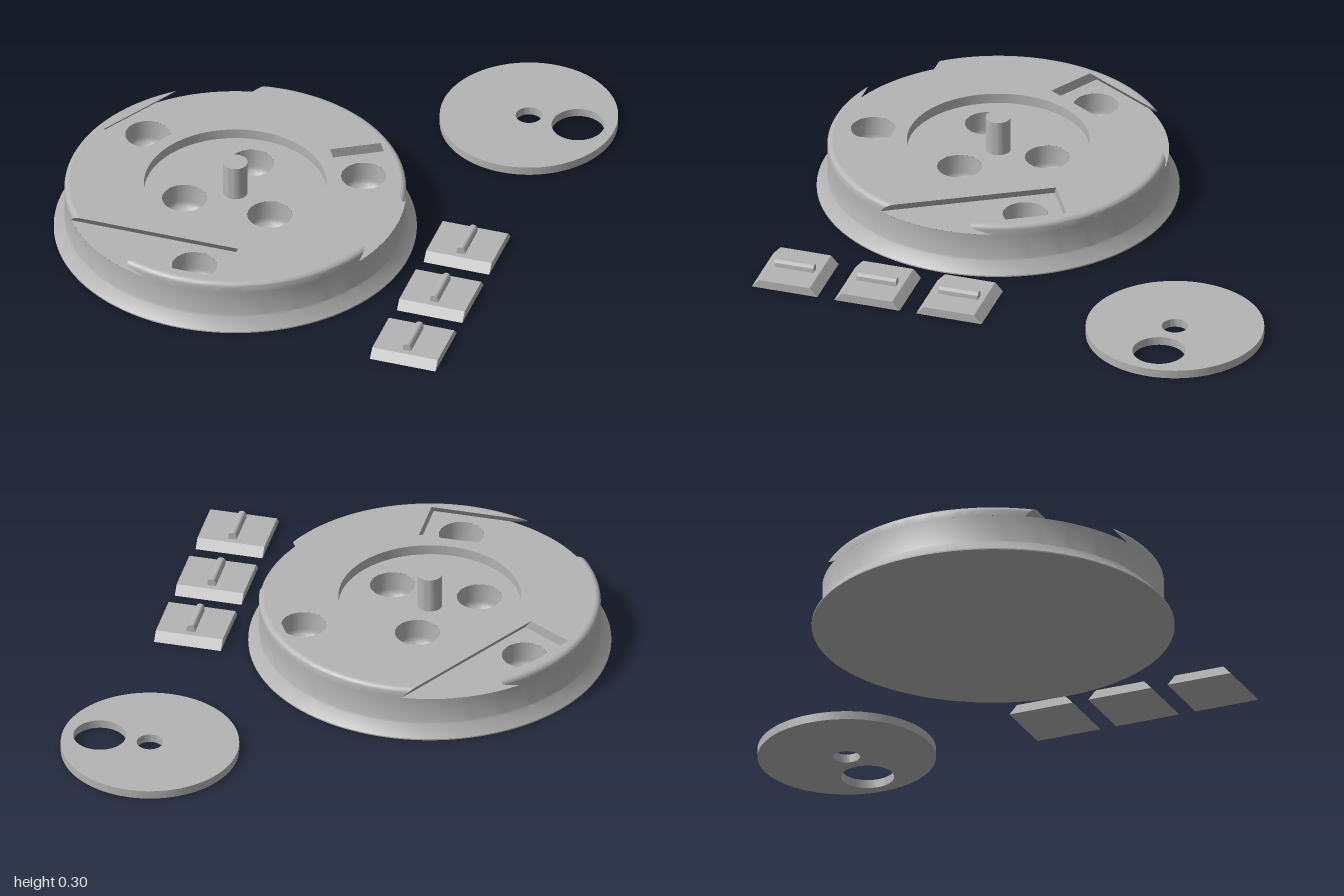
import * as THREE from 'three';
import { toCreasedNormals } from 'three/addons/utils/BufferGeometryUtils.js';

const FLOOR = 0.16, TOP = 0.2, R = 0.645, RECESS = 0.345, HOLE = 0.085;
const THIRD = Math.PI * 2 / 3;

export function createModel() {
  const grey = new THREE.MeshStandardMaterial({ color: 0xb4b4b4 });
  grey.name = 'plain grey';
  const model = new THREE.Group();

  const add = (parent, name, geometry, x = 0, y = 0, z = 0) => {
    const mesh = new THREE.Mesh(geometry, grey);
    mesh.name = name;
    mesh.position.set(x, y, z);
    parent.add(mesh);
    return mesh;
  };
  // Profile points running upward face outward, running downward face inward
  const lathe = (points, segments = 96) => toCreasedNormals(
    new THREE.LatheGeometry(points.map(p => new THREE.Vector2(...p)), segments), 0.5);
  const circle = (x, z, r) => new THREE.Path().absarc(x, -z, r, 0, Math.PI * 2);
  const flat = shape => new THREE.ShapeGeometry(shape, 48).rotateX(-Math.PI / 2);

  // Round base, centred on its own axis
  const base = new THREE.Group();
  base.name = 'base';
  base.position.set(-0.25, 0, 0.315);
  model.add(base);
  add(base, 'baseBody', lathe([[0, 0], [0.685, 0], [0.685, 0.005], [0.647, 0.05], [R, 0.055], [R, FLOOR]], 128));

  // Floor of the recess and slots, with six round pockets
  const floor = new THREE.Shape().absarc(0, 0, R, 0, Math.PI * 2);
  const pocket = [[HOLE, FLOOR], [HOLE, 0.085]];
  for (let i = 1; i <= 6; i++) {
    const a = i / 6 * Math.PI / 2;
    pocket.push([HOLE - 0.035 * (1 - Math.cos(a)), 0.085 - 0.035 * Math.sin(a)]);
  }
  pocket.push([0, 0.05]);
  for (let i = 0; i < 3; i++) {
    for (const [distance, angle, name] of [[0.195, -Math.PI / 2, 'innerPocket'], [0.495, Math.PI / 2, 'outerPocket']]) {
      const x = distance * Math.cos(angle + i * THIRD), z = distance * Math.sin(angle + i * THIRD);
      floor.holes.push(circle(x, z, HOLE));
      add(base, name, lathe(pocket, 40), x, 0, z);
    }
  }
  add(base, 'slotFloor', flat(floor), 0, FLOOR, 0);

  // Outline of the rim at one height: a circle cut by three undercut slots
  const outline = (y, r) => {
    const t = (y - FLOOR) / (TOP - FLOOR);
    const inner = 0.365 + 0.03 * t, outer = 0.625 - 0.035 * t, end = 0.14;
    const a0 = Math.PI - Math.asin(inner / r);
    const a1 = Math.PI - Math.asin(outer / r) + THIRD;
    const points = [];
    for (let s = 0; s < 3; s++) {
      const c = Math.cos(s * THIRD), n = Math.sin(s * THIRD);
      const put = (u, v) => points.push([u * c - v * n, u * n + v * c]);
      put(end, outer);
      put(end, inner);
      for (let i = 0; i <= 36; i++) {
        const a = a0 + (a1 - a0) * i / 36;
        put(r * Math.cos(a), r * Math.sin(a));
      }
    }
    return points;
  };

  // Rim wall lofted through the outlines, rounded at the top edge
  const levels = [[FLOOR, R], [0.18, R]];
  for (let i = 1; i <= 5; i++) {
    const a = i / 5 * Math.PI / 2;
    levels.push([0.18 + 0.02 * Math.sin(a), R - 0.02 * (1 - Math.cos(a))]);
  }
  const rings = levels.map(([y, r]) => outline(y, r).map(([x, z]) => [x, y, z]));
  const count = rings[0].length, wall = [];
  for (let k = 0; k < rings.length - 1; k++) {
    for (let i = 0; i < count; i++) {
      const j = (i + 1) % count;
      const a = rings[k][i], b = rings[k][j], c = rings[k + 1][j], d = rings[k + 1][i];
      wall.push(...a, ...d, ...b, ...b, ...d, ...c);
    }
  }
  const wallGeometry = new THREE.BufferGeometry();
  wallGeometry.setAttribute('position', new THREE.Float32BufferAttribute(wall, 3));
  add(base, 'slottedRim', toCreasedNormals(wallGeometry, 0.5));

  // Top face around the central recess
  const last = rings[rings.length - 1];
  const face = new THREE.Shape(last.map(([x, , z]) => new THREE.Vector2(x, -z)));
  face.holes.push(circle(0, 0, RECESS));
  add(base, 'topFace', flat(face), 0, TOP, 0);
  add(base, 'recessWall', lathe([[RECESS, TOP], [RECESS, FLOOR]]));
  add(base, 'centrePost', lathe([[0.047, FLOOR], [0.047, 0.3], [0, 0.3]], 40));

  // Loose cover disc with a pivot hole and a larger opening
  const disc = new THREE.Shape().absarc(0, 0, 0.337, 0, Math.PI * 2);
  disc.holes.push(circle(0, 0, 0.05), circle(0.195, 0, 0.1));
  const discGeometry = new THREE.ExtrudeGeometry(disc, { depth: 0.033, bevelEnabled: false, curveSegments: 64 });
  add(model, 'coverDisc', toCreasedNormals(discGeometry.rotateX(-Math.PI / 2), 0.5), 0.595, 0, -0.663);

  // Three loose dovetail sliders with grip ribs
  const section = new THREE.Shape([[-0.13, 0], [0.13, 0], [0.1, 0.033], [-0.1, 0.033]]
    .map(p => new THREE.Vector2(...p)));
  const plate = new THREE.ExtrudeGeometry(section, { depth: 0.26, bevelEnabled: false })
    .translate(0, 0, -0.13).rotateY(Math.PI / 2);
  const ribShape = new THREE.Shape().moveTo(-0.016, 0.03).lineTo(0.016, 0.03).lineTo(0.016, 0.045)
    .absarc(0, 0.045, 0.016, 0, Math.PI);
  const rib = toCreasedNormals(new THREE.ExtrudeGeometry(ribShape, { depth: 0.155, bevelEnabled: false })
    .translate(0, 0, -0.0775), 0.7);
  for (const z of [0.182, 0.507, 0.834]) {
    const slider = new THREE.Group();
    slider.name = 'slider';
    slider.position.set(0.627, 0, z);
    add(slider, 'sliderPlate', plate);
    add(slider, 'gripRib', rib);
    model.add(slider);
  }
  return model;
}
